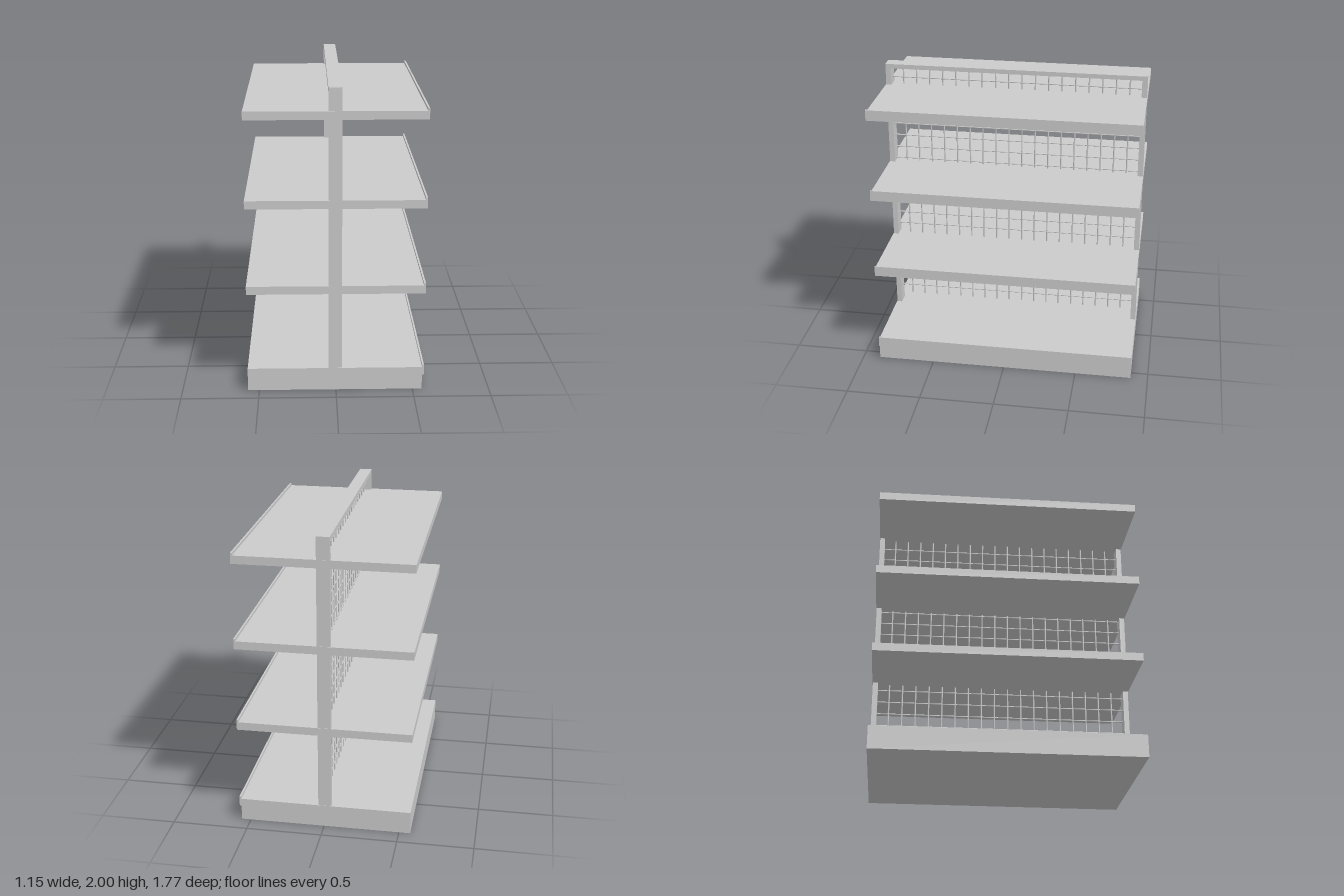
import * as THREE from 'three';

const grey = new THREE.MeshStandardMaterial({ color: 0xcccccc, flatShading: true });
const smooth = new THREE.MeshStandardMaterial({ color: 0xcccccc });

// Box given by its lower and upper limits on each axis
function box(name, x0, x1, y0, y1, z0, z1) {
  const mesh = new THREE.Mesh(new THREE.BoxGeometry(x1 - x0, y1 - y0, z1 - z0), grey);
  mesh.position.set((x0 + x1) / 2, (y0 + y1) / 2, (z0 + z1) / 2);
  mesh.name = name;
  return mesh;
}

export function createModel() {
  const model = new THREE.Group();
  model.name = 'gondolaShelf';
  const depth = 0.883, left = -0.574, lipIn = 0.562, lipOut = 0.574;
  const postX0 = -0.047, postX1 = 0.039;

  // Plinth with its raised front lip
  model.add(box('base', left, lipIn, 0, 0.152, -depth, depth));
  model.add(box('baseLip', lipIn, lipOut, 0.1, 0.17, -depth, depth));

  // Shelves, each with a lip along one long edge
  for (const y of [0.665, 1.232, 1.799]) {
    const shelf = new THREE.Group();
    shelf.name = 'shelf';
    shelf.add(box('shelfBoard', left, lipIn, y, y + 0.054, -depth, depth));
    shelf.add(box('shelfLip', lipIn, lipOut, y, y + 0.071, -depth, depth));
    model.add(shelf);
  }

  // End posts and the rail joining their tops
  model.add(box('frontPost', postX0, postX1, 0.15, 1.97, 0.845, 0.88));
  model.add(box('backPost', postX0, postX1, 0.15, 1.97, -0.88, -0.845));
  model.add(box('topRail', postX0, postX1, 1.97, 2, -0.88, 0.88));

  // Wire grid between the posts
  const grid = new THREE.Group();
  grid.name = 'wireGrid';
  const gridX = -0.004, radius = 0.005;
  const upright = new THREE.CylinderGeometry(radius, radius, 1.76, 8);
  for (let i = 0; i < 18; i++) {
    const wire = new THREE.Mesh(upright, smooth);
    wire.name = 'verticalWire';
    wire.position.set(gridX, 1.097, 0.767 - i * 0.0902);
    grid.add(wire);
  }
  const crosswire = new THREE.CylinderGeometry(radius, radius, 1.7, 8).rotateX(Math.PI / 2);
  for (let i = 0; i < 20; i++) {
    const wire = new THREE.Mesh(crosswire, smooth);
    wire.name = 'horizontalWire';
    wire.position.set(gridX, 0.283 + i * 0.0851, 0);
    grid.add(wire);
  }
  model.add(grid);

  return model;
}
